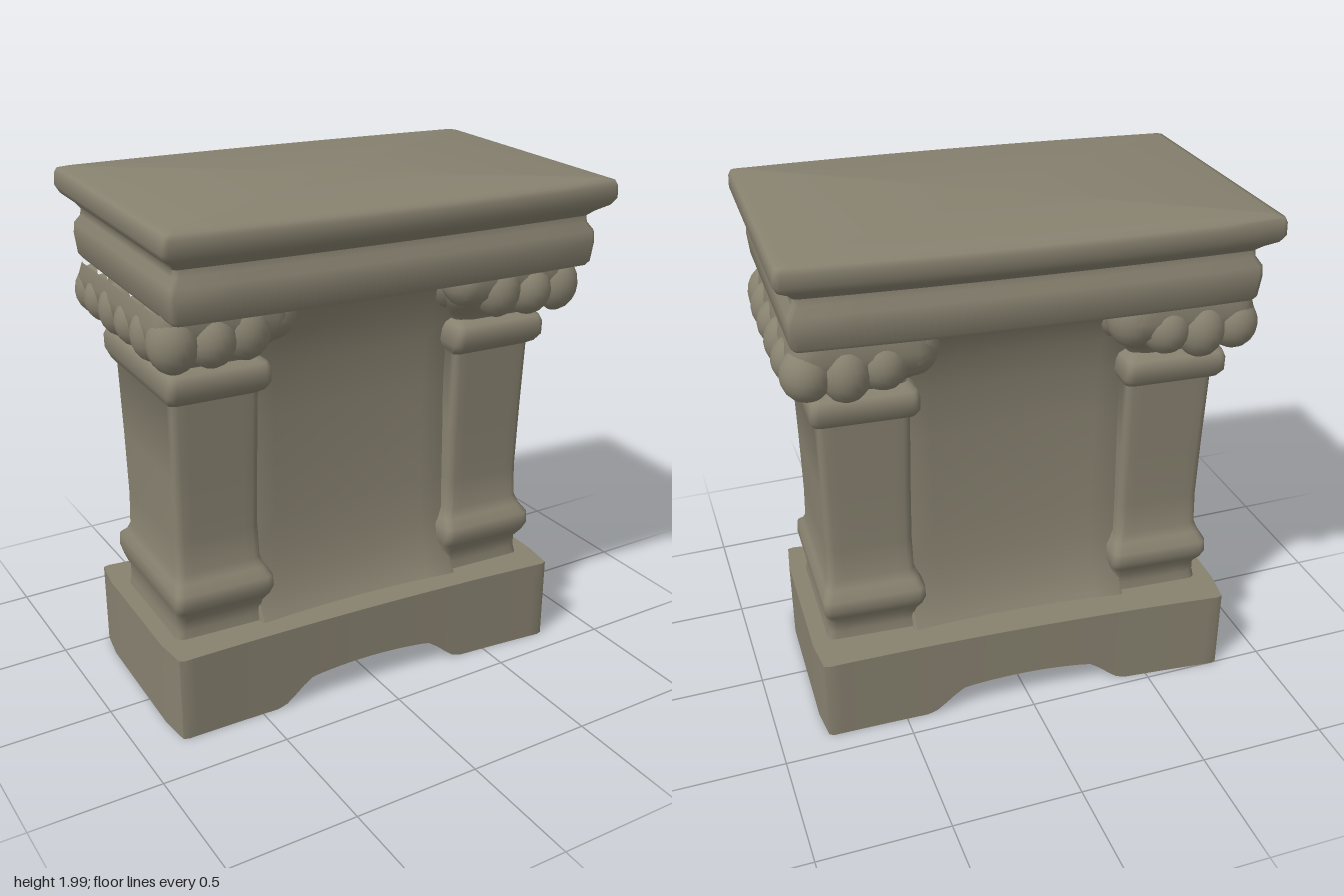
import * as THREE from 'three';
import { mergeGeometries, toCreasedNormals } from 'three/addons/utils/BufferGeometryUtils.js';

const stone = new THREE.MeshStandardMaterial({ color: 0x87816f });
stone.name = 'stone';

// Stack of rounded rectangles, rows = [y, half width, half depth]
function loft(rows, radius, capped = false) {
  const pos = [], index = [];
  let n = 0;
  for (const [y, hx, hz] of rows) {
    const ring = [];
    for (let q = 0; q < 4; q++) {
      const sx = q === 0 || q === 3 ? 1 : -1, sz = q < 2 ? 1 : -1;
      for (let k = 0; k <= 4; k++) {
        const a = (q + k / 4) * Math.PI / 2;
        ring.push([sx * (hx - radius) + Math.cos(a) * radius, sz * (hz - radius) + Math.sin(a) * radius]);
      }
      // extra points along the front and back so they can be curved
      if (q % 2 === 0) {
        for (let k = 1; k < 8; k++) ring.push([sx * (hx - radius) * (1 - k / 4), sz * hz]);
      }
    }
    n = ring.length;
    for (const [x, z] of ring) pos.push(x, y, z);
  }
  const last = (rows.length - 1) * n;
  for (let i = 0; i < rows.length - 1; i++) {
    for (let j = 0; j < n; j++) {
      const a = i * n + j, b = i * n + (j + 1) % n;
      index.push(a, a + n, b, b, a + n, b + n);
    }
  }
  if (capped) {
    const bottom = pos.length / 3;
    pos.push(0, rows[0][0], 0, 0, rows[rows.length - 1][0], 0);
    for (let j = 0; j < n; j++) {
      const k = (j + 1) % n;
      index.push(bottom, j, k, bottom + 1, last + k, last + j);
    }
  }
  const g = new THREE.BufferGeometry();
  g.setAttribute('position', new THREE.Float32BufferAttribute(pos, 3));
  g.setIndex(index);
  return g;
}

// Worn, slightly crooked masonry: bow the long faces and skew the plan
function weather(g, { bow = 0, span = 0.85, dx = -0.01, dz = -0.04, tilt = 0, skew = 0.06 } = {}) {
  const p = g.attributes.position;
  for (let i = 0; i < p.count; i++) {
    const x = p.getX(i), z = p.getZ(i);
    const z2 = z * (1 + bow * Math.max(0, 1 - (x / span) ** 2));
    p.setXYZ(i, x - 0.03 * z + dx, p.getY(i) - tilt * z, z2 + skew * x + dz);
  }
  return toCreasedNormals(g, 0.95);
}

function add(group, name, geometry) {
  const mesh = new THREE.Mesh(geometry, stone);
  mesh.name = name;
  group.add(mesh);
}

// Block whose underside rises into an arch, with worn upright corners
function archedBlock() {
  const hx = 0.825, hz = 0.41, top = 0.35;
  const g = new THREE.BoxGeometry(2 * hx, 1, 2 * hz, 44, 4, 6);
  const p = g.attributes.position;
  for (let i = 0; i < p.count; i++) {
    const x = p.getX(i), z = p.getZ(i), t = p.getY(i) + 0.5;
    const arch = 0.01 + 0.095 * (1 - THREE.MathUtils.smoothstep(Math.abs(x), 0.25, 0.41))
      + 0.022 * Math.max(0, 1 - (x / 0.3) ** 2);
    const corner = Math.abs(x) > hx - 0.001 && Math.abs(z) > hz - 0.001 ? 0.98 : 1;
    p.setXYZ(i, x * corner, THREE.MathUtils.lerp(arch, top, t), z * corner);
  }
  return g;
}

// Ring of swelling leaves, each facing out from the capital; side = +1 left, -1 right
function leaves(side) {
  const spots = [];
  for (const z of [-0.23, -0.08, 0.08, 0.23]) spots.push([0.195, 1.555, z, 0.083]);
  for (const s of [-1, 1]) {
    spots.push([0.18, 1.555, s * 0.355, 0.09], [0.05, 1.55, s * 0.365, 0.09]);
    spots.push([-0.08, 1.565, s * 0.355, 0.09], [-0.19, 1.605, s * 0.32, 0.095], [-0.2, 1.59, s * 0.21, 0.1]);
  }
  return mergeGeometries(spots.map(([x, y, z, r], i) => {
    const g = new THREE.SphereGeometry(1, 14, 10, -0.4, Math.PI + 0.8);
    g.scale(r, r * (i % 2 ? 1.2 : 1.08), r);
    g.rotateY(Math.atan2(side * x, z * 0.5));
    return g.translate(side * (0.59 + x), y, z);
  }));
}

export function createModel() {
  const model = new THREE.Group();
  model.name = 'stonePedestal';

  // Plinth with a shallow arch cut through from front to back
  add(model, 'plinth', weather(archedBlock(), { bow: -0.06, dz: -0.05 }));

  // Recessed wall, flaring into the plinth and the cornice
  add(model, 'recessedWall', weather(loft([
    [0.34, 0.43, 0.3], [0.37, 0.43, 0.28], [0.42, 0.43, 0.255], [0.5, 0.43, 0.23], [0.6, 0.43, 0.212],
    [0.75, 0.43, 0.2], [1.15, 0.43, 0.195], [1.35, 0.43, 0.21], [1.48, 0.43, 0.24], [1.58, 0.43, 0.28],
    [1.64, 0.43, 0.32], [1.67, 0.43, 0.35],
  ], 0.01), { bow: -0.08, span: 0.43 }));

  // Two square pillars with moulded feet and necks, and leafy capitals
  for (const side of [1, -1]) {
    const pillar = new THREE.Group();
    pillar.name = side > 0 ? 'leftPillar' : 'rightPillar';
    const shaft = loft([
      [0.34, 0.185, 0.265], [0.38, 0.178, 0.255], [0.43, 0.175, 0.26], [0.475, 0.19, 0.295], [0.51, 0.198, 0.312],
      [0.555, 0.196, 0.308], [0.585, 0.18, 0.272], [0.62, 0.168, 0.255], [0.75, 0.165, 0.25], [1.0, 0.167, 0.258],
      [1.29, 0.172, 0.268], [1.31, 0.185, 0.305], [1.34, 0.196, 0.33], [1.39, 0.196, 0.332], [1.415, 0.188, 0.32],
      [1.43, 0.165, 0.27],
    ], 0.03).translate(side * 0.577, 0, 0);
    add(pillar, 'shaft', weather(shaft));
    const core = loft([
      [1.42, 0.17, 0.275], [1.45, 0.185, 0.29], [1.49, 0.215, 0.345], [1.55, 0.245, 0.405], [1.61, 0.25, 0.42],
      [1.665, 0.235, 0.41],
    ], 0.07).translate(side * 0.585, 0, 0);
    add(pillar, 'capitalCore', weather(core));
    add(pillar, 'capitalLeaves', weather(leaves(side), { dx: 0 }));
    model.add(pillar);
  }

  // Stepped cornice and top slab
  add(model, 'cornice', weather(loft([
    [1.66, 0.81, 0.455], [1.675, 0.82, 0.465], [1.75, 0.828, 0.472], [1.79, 0.825, 0.468], [1.82, 0.805, 0.45],
    [1.845, 0.803, 0.447], [1.87, 0.82, 0.48], [1.895, 0.855, 0.518], [1.92, 0.868, 0.533], [1.965, 0.866, 0.533],
    [1.983, 0.858, 0.526], [1.991, 0.83, 0.5],
  ], 0.022, true), { bow: 0.045, dx: 0, dz: -0.008, tilt: 0.016, skew: 0.07 }));

  return model;
}
